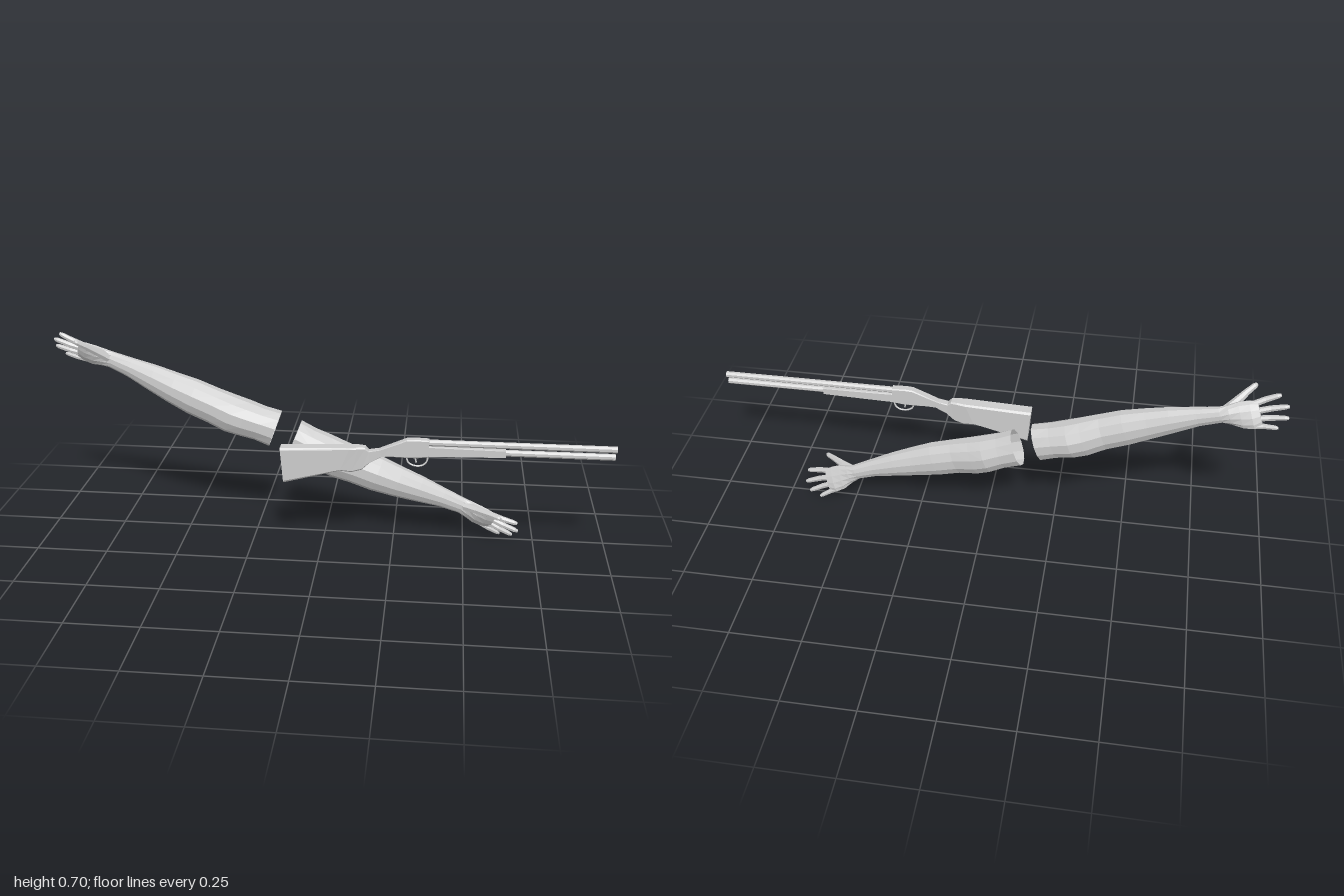
import * as THREE from 'three';

const grey = new THREE.MeshStandardMaterial({ color: 0xcccccc, side: THREE.DoubleSide });
grey.name = 'light grey';
const V = (x, y, z) => new THREE.Vector3(x, y, z);

function addMesh(parent, name, geometry) {
  const flat = geometry.index ? geometry.toNonIndexed() : geometry;
  flat.computeVertexNormals();
  const mesh = new THREE.Mesh(flat, grey);
  mesh.name = name;
  parent.add(mesh);
  return mesh;
}

// Skin a row of equal-sized rings; corners are ordered so faces point outwards
function loft(rings, capStart, capEnd) {
  const tris = [], n = rings[0].length;
  const mid = r => r.reduce((s, p) => s.add(p), V(0, 0, 0)).divideScalar(n);
  for (let i = 0; i < rings.length - 1; i++) {
    for (let j = 0; j < n; j++) {
      const k = (j + 1) % n, a = rings[i], b = rings[i + 1];
      tris.push([a[j], a[k], b[k]], [a[j], b[k], b[j]]);
    }
  }
  const first = rings[0], last = rings[rings.length - 1];
  for (let j = 0; j < n; j++) {
    const k = (j + 1) % n;
    if (capStart) tris.push([mid(first), first[k], first[j]]);
    if (capEnd) tris.push([mid(last), last[j], last[k]]);
  }
  const o = mid(first);
  let volume = 0;
  for (const [a, b, c] of tris) {
    volume += a.clone().sub(o).dot(b.clone().sub(o).cross(c.clone().sub(o)));
  }
  if (volume < 0) tris.forEach(t => t.reverse());
  return new THREE.BufferGeometry().setFromPoints(tris.flat());
}

// Oval section across the arm: distance, centre, half sizes, tilt
function oval([u, v, w, a, b, tilt = 0], n = 12) {
  return Array.from({ length: n }, (_, i) => {
    const t = (i + 0.5) / n * Math.PI * 2, c = Math.cos(t) * a, s = Math.sin(t) * b;
    return V(u, v + c * Math.cos(tilt) - s * Math.sin(tilt), w + c * Math.sin(tilt) + s * Math.cos(tilt));
  });
}

// Round sections following a bent finger
function digitRings(points, radii, n = 7) {
  return points.map((p, i) => {
    const dir = points[Math.min(i + 1, points.length - 1)].clone().sub(points[Math.max(i - 1, 0)]).normalize();
    const e1 = dir.clone().cross(V(0, 0, 1)).normalize(), e2 = dir.clone().cross(e1);
    return Array.from({ length: n }, (_, j) => {
      const t = j / n * Math.PI * 2;
      return p.clone().addScaledVector(e1, Math.cos(t) * radii[i]).addScaledVector(e2, Math.sin(t) * radii[i]);
    });
  });
}

const armSections = [
  [0, 0, -0.048, 0.069, 0.06], [0.06, -0.002, -0.047, 0.065, 0.062],
  [0.12, -0.006, -0.047, 0.069, 0.066], [0.17, -0.008, -0.043, 0.071, 0.063],
  [0.24, -0.003, -0.038, 0.067, 0.056], [0.32, 0, -0.037, 0.066, 0.054],
  [0.4, 0.003, -0.038, 0.058, 0.047], [0.48, 0.007, -0.042, 0.049, 0.039],
  [0.57, 0.01, -0.047, 0.036, 0.029], [0.645, 0.008, -0.053, 0.03, 0.022],
];
const handSections = [
  armSections[armSections.length - 1],
  [0.675, 0.004, -0.055, 0.035, 0.021, 0.25], [0.71, -0.002, -0.057, 0.046, 0.02, 0.45],
  [0.745, -0.005, -0.06, 0.049, 0.017, 0.54], [0.772, -0.003, -0.059, 0.041, 0.012, 0.54],
];
// Knuckle, tip and thickness of each finger
const fingers = [
  ['indexFinger', [0.755, 0.023, -0.042], [0.849, 0.035, -0.031], 0.011],
  ['middleFinger', [0.76, 0.003, -0.055], [0.867, 0.0, -0.052], 0.011],
  ['ringFinger', [0.755, -0.018, -0.067], [0.858, -0.03, -0.073], 0.0105],
  ['littleFinger', [0.735, -0.037, -0.077], [0.819, -0.051, -0.09], 0.0095],
];

// side is +1 for the arm reaching towards +x, -1 for the other
function makeArm(name, side, origin, along, up) {
  const arm = new THREE.Group();
  arm.name = name;
  const place = rings => rings.map(r => r.map(p => V(
    origin[0] + along[0] * p.x + up[0] * p.y,
    origin[1] + along[1] * p.x + up[1] * p.y,
    p.z + side * 0.067 * p.x)));
  addMesh(arm, 'armSleeve', loft(place(armSections.map(s => oval(s))), false, false));
  addMesh(arm, 'palm', loft(place(handSections.map(s => oval(s))), false, true));
  for (const [label, base, tip, r] of fingers) {
    const a = V(...base), b = V(...tip);
    const points = [0, 0.45, 0.88, 1].map(t => a.clone().lerp(b, t).add(V(0, 0, 0.004 * Math.sin(t * Math.PI))));
    addMesh(arm, label, loft(place(digitRings(points, [r, r * 0.95, r * 0.8, r * 0.5])), true, true));
  }
  const thumb = [V(0.655, 0.012, -0.047), V(0.7, 0.027, -0.022), V(0.74, 0.041, 0.006), V(0.769, 0.049, 0.025), V(0.776, 0.051, 0.03)];
  addMesh(arm, 'thumb', loft(place(digitRings(thumb, [0.017, 0.0155, 0.0115, 0.0095, 0.0055])), true, true));
  return arm;
}

// Slightly chamfered upright section: top x, top y, bottom x, bottom y, half width
function slab([xt, yt, xb, yb, h]) {
  const outline = [[0.75, 0], [1, 0.06], [1, 0.94], [0.75, 1], [-0.75, 1], [-1, 0.94], [-1, 0.06], [-0.75, 0]];
  return outline.map(([z, t]) => V(xb + (xt - xb) * t, yb + (yt - yb) * t, z * h));
}

function makeGun() {
  const gun = new THREE.Group();
  gun.name = 'doubleBarrelGun';
  gun.position.z = 0.1295;
  const parts = {
    stock: [
      [-0.142, 0.382, -0.131, 0.253, 0.025], [0.1, 0.391, 0.065, 0.306, 0.025],
      [0.13, 0.393, 0.105, 0.301, 0.021], [0.152, 0.392, 0.14, 0.31, 0.017],
      [0.165, 0.379, 0.17, 0.338, 0.0145], [0.2, 0.385, 0.21, 0.36, 0.014],
    ],
    receiver: [
      [0.2, 0.385, 0.21, 0.36, 0.014], [0.24, 0.402, 0.24, 0.362, 0.0155],
      [0.295, 0.426, 0.28, 0.36, 0.0155], [0.32, 0.428, 0.33, 0.36, 0.0155], [0.37, 0.426, 0.37, 0.366, 0.0155],
    ],
    forend: [
      [0.37, 0.404, 0.37, 0.367, 0.0155], [0.48, 0.402, 0.48, 0.37, 0.0155], [0.63, 0.4, 0.63, 0.374, 0.0145],
    ],
  };
  for (const [name, sections] of Object.entries(parts)) addMesh(gun, name, loft(sections.map(slab), true, true));

  // Two stacked barrels with open bores
  for (const [name, y, length] of [['upperBarrel', 0.4145, 0.65], ['lowerBarrel', 0.3875, 0.645]]) {
    const profile = [[0, 0], [0.0115, 0], [0.0115, length], [0.008, length], [0.008, 0.6], [0, 0.6]];
    const barrel = addMesh(gun, name, new THREE.LatheGeometry(profile.map(p => new THREE.Vector2(...p)), 8, Math.PI / 8));
    barrel.rotation.z = -Math.PI / 2;
    barrel.position.set(0.35, y, 0);
  }

  // Trigger and its guard
  const guard = new THREE.CatmullRomCurve3([V(0.293, 0.364, 0), V(0.3, 0.34, 0), V(0.323, 0.328, 0),
    V(0.35, 0.331, 0), V(0.364, 0.346, 0), V(0.367, 0.368, 0)]);
  addMesh(gun, 'triggerGuard', new THREE.TubeGeometry(guard, 14, 0.0032, 6));
  const trigger = addMesh(gun, 'trigger', new THREE.BoxGeometry(0.005, 0.024, 0.005));
  trigger.position.set(0.325, 0.352, 0);
  trigger.rotation.z = 0.25;
  return gun;
}

export function createModel() {
  const model = new THREE.Group();
  model.name = 'armsAndGun';
  model.add(makeArm('leftArm', 1, [-0.115, 0.345], [0.935, -0.354], [0.354, 0.935]));
  model.add(makeArm('rightArm', -1, [-0.185, 0.378], [-0.941, 0.337], [0.337, 0.941]));
  model.add(makeGun());
  return model;
}
